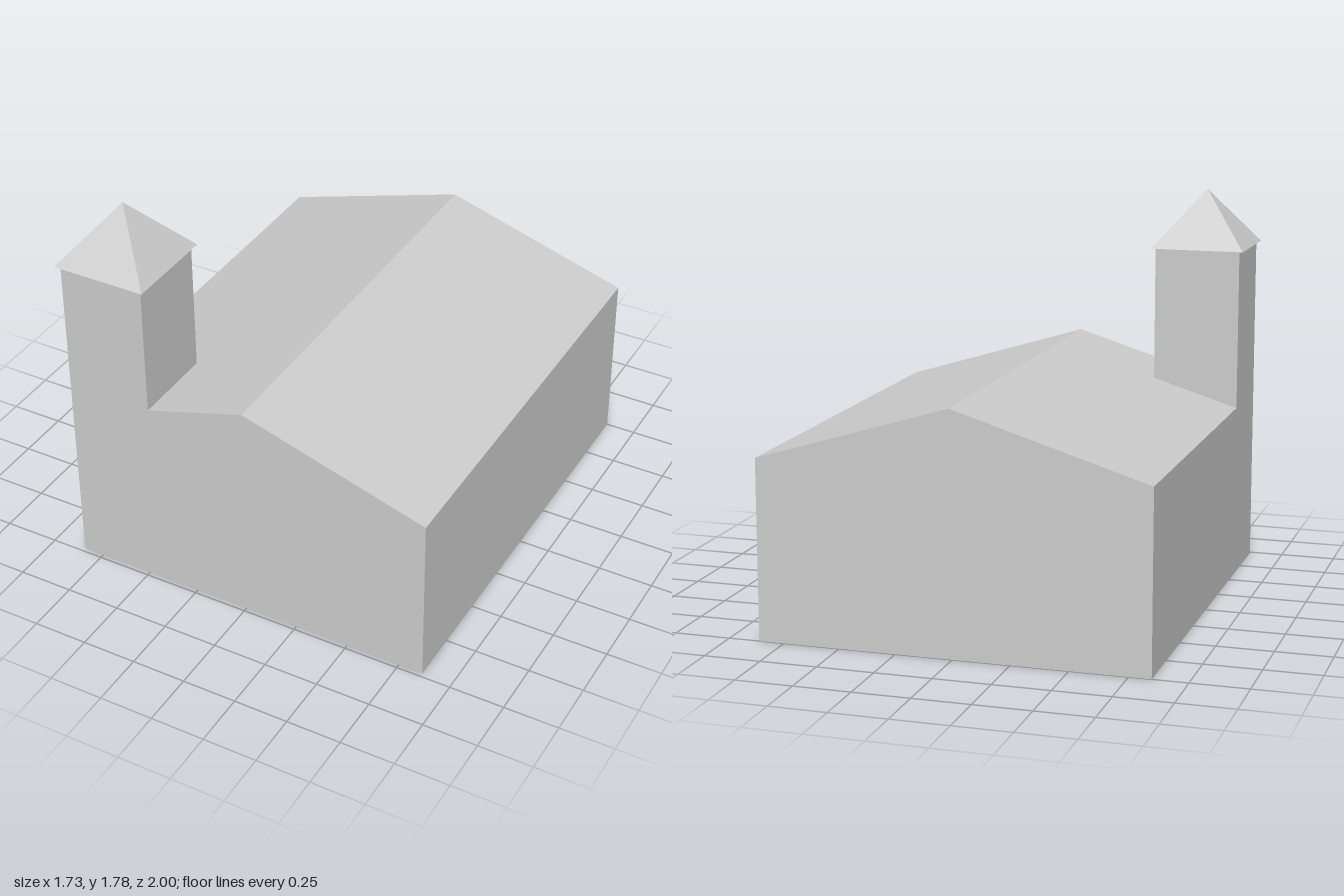
import * as THREE from 'three';

export function createModel() {
  const model = new THREE.Group();
  model.name = 'hallWithTower';

  const plaster = new THREE.MeshStandardMaterial({
    color: 0xcccccc, flatShading: true, side: THREE.DoubleSide,
  });
  plaster.name = 'light grey';

  const add = (name, geometry, parent = model) => {
    const mesh = new THREE.Mesh(geometry, plaster);
    mesh.name = name;
    parent.add(mesh);
    return mesh;
  };

  const left = -0.847, right = 0.862, eave = 0.796, ridge = 1.058;
  const ridgeX = (left + right) / 2, front = 0.981, back = -1;

  // Hall: a hollow shell, open underneath, with a gabled cross-section
  const hall = new THREE.Group();
  hall.name = 'hall';
  model.add(hall);
  const profile = [[right, 0], [right, eave], [ridgeX, ridge], [left, eave], [left, 0]];
  const names = ['rightWall', 'rightRoof', 'leftRoof', 'leftWall'];
  names.forEach((name, i) => {
    const [ax, ay] = profile[i], [bx, by] = profile[i + 1];
    const panel = new THREE.BufferGeometry();
    panel.setAttribute('position', new THREE.Float32BufferAttribute(
      [ax, ay, front, ax, ay, back, bx, by, back, bx, by, front], 3));
    panel.setIndex([0, 1, 2, 0, 2, 3]);
    panel.computeVertexNormals();
    add(name, panel, hall);
  });

  // Gable ends
  const gable = new THREE.Shape(profile.map(([x, y]) => new THREE.Vector2(x, y)));
  add('frontGable', new THREE.ShapeGeometry(gable), hall).position.z = front;
  const backGable = add('backGable', new THREE.ShapeGeometry(gable), hall);
  backGable.rotation.y = Math.PI;
  backGable.position.set(2 * ridgeX, 0, back);

  // Tower: starts at eave height, so its base shows below the roof inside
  const size = 0.392, towerTop = 1.522, overhang = 0.019;
  const towerX = left + size / 2, towerZ = front - size / 2;
  const tower = add('tower', new THREE.BoxGeometry(size, towerTop - eave, size));
  tower.position.set(towerX, (towerTop + eave) / 2, towerZ);

  // Pyramid roof, slightly wider than the tower
  const capHeight = 0.261;
  const cap = new THREE.ConeGeometry((size / 2 + overhang) * Math.SQRT2, capHeight, 4);
  cap.rotateY(Math.PI / 4);
  add('towerRoof', cap).position.set(towerX, towerTop + capHeight / 2, towerZ);

  return model;
}
